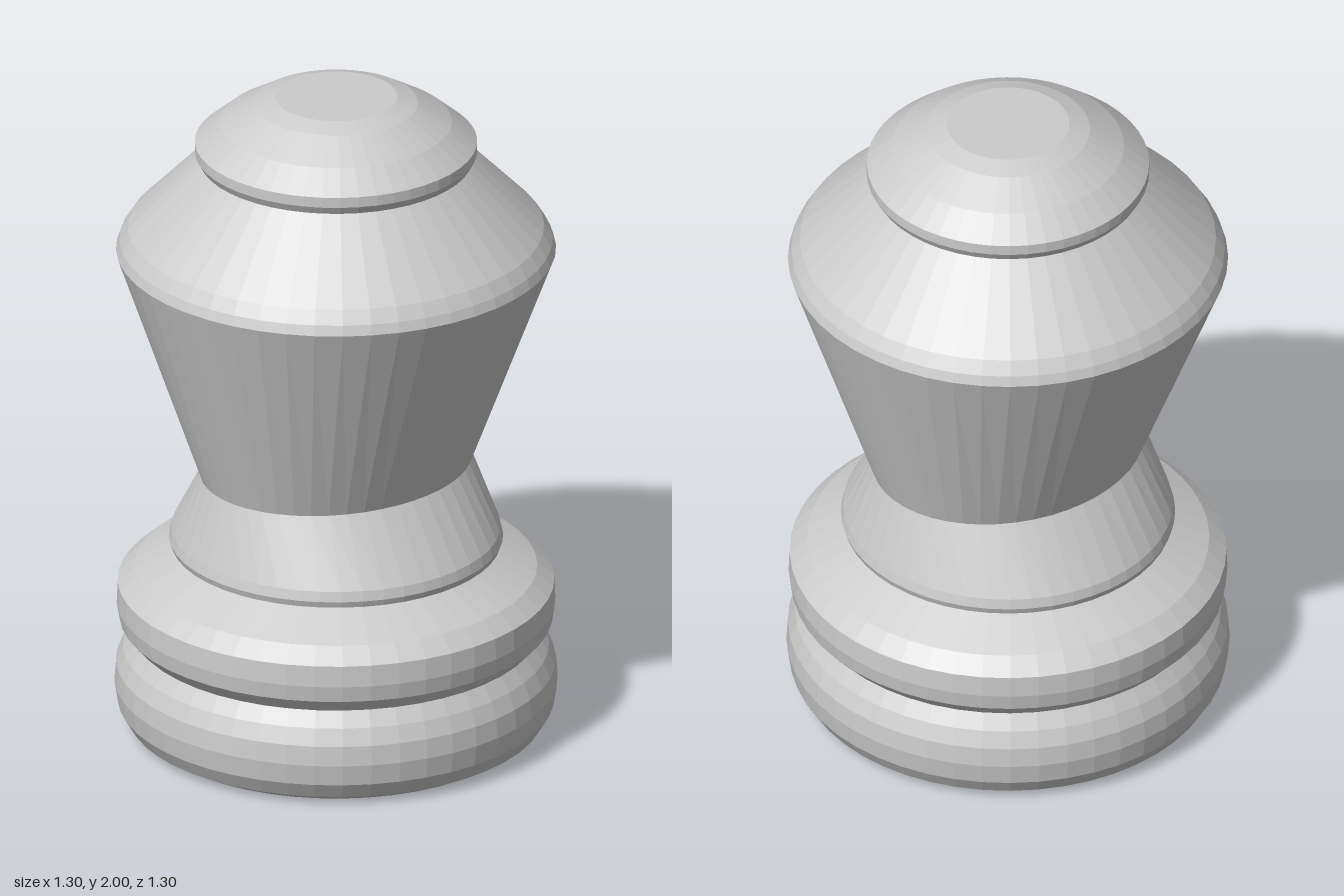
import * as THREE from 'three';

const SEGMENTS = 48;
const WAIST_Y = 0.825;

// Turned section from [radius, height, optional z radius] points, bottom to top
function turned(name, profile, material) {
  const geometry = new THREE.LatheGeometry(
    profile.map(([r, y]) => new THREE.Vector2(r, y)), SEGMENTS);
  const pos = geometry.attributes.position;
  for (let i = 0; i < pos.count; i++) {
    const [r, , rz = r] = profile[i % profile.length];
    if (r > 0) pos.setZ(i, pos.getZ(i) * rz / r);
  }
  geometry.computeVertexNormals();
  const mesh = new THREE.Mesh(geometry, material);
  mesh.name = name;
  return mesh;
}

export function createModel() {
  const group = new THREE.Group();
  group.name = 'chessPiece';
  const material = new THREE.MeshStandardMaterial({ color: 0xcccccc, flatShading: true });

  // The waist is oval: wider across than deep
  const waist = [0.425, WAIST_Y, 0.355];

  const parts = {
    base: [[0, 0], [0.565, 0], [0.61, 0.025], [0.64, 0.075], [0.65, 0.14],
      [0.645, 0.2], [0.625, 0.25], [0.595, 0.295]],
    baseRing: [[0.595, 0.295], [0.635, 0.34], [0.643, 0.39], [0.64, 0.455],
      [0.59, 0.5], [0.46, 0.565]],
    neck: [[0.46, 0.565], [0.483, 0.575], [0.49, 0.595], [0.483, 0.625], waist],
    body: [waist, [0.645, 1.515], [0.635, 1.545], [0.61, 1.585], [0.4, 1.8]],
    cap: [[0.4, 1.8], [0.414, 1.825], [0.414, 1.857], [0.34, 1.92],
      [0.24, 1.98], [0.18, 2], [0, 2]],
  };
  for (const [name, profile] of Object.entries(parts)) {
    group.add(turned(name, profile, material));
  }
  return group;
}
